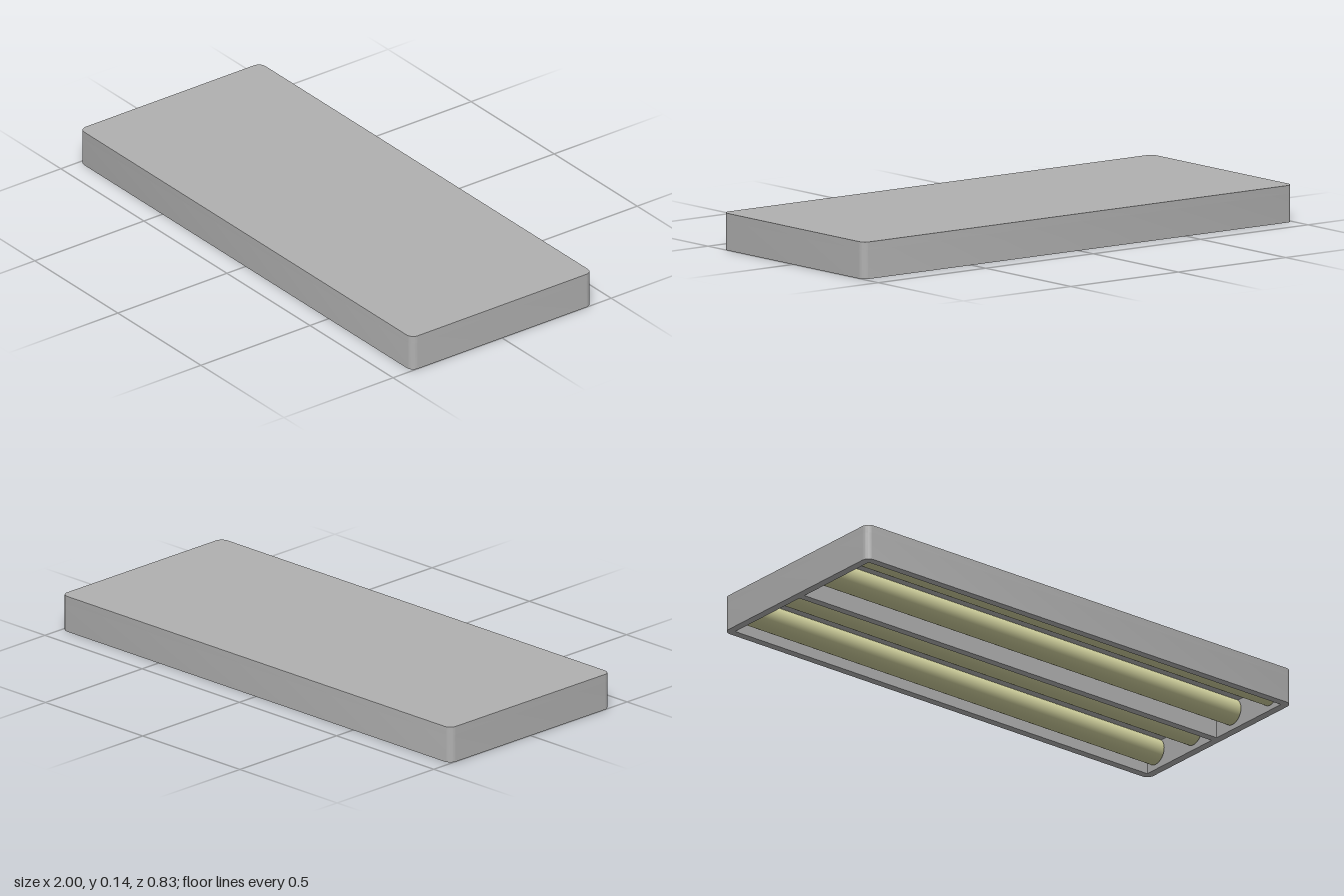
import * as THREE from 'three';
import { toCreasedNormals } from 'three/addons/utils/BufferGeometryUtils.js';

const W = 2, D = 0.83, H = 0.137, WALL = 0.03, CEILING = 0.107, CORNER = 0.03;

// Rectangle with rounded corners, centred on the origin
function roundedOutline() {
  const x = W / 2, y = D / 2, r = CORNER;
  const s = new THREE.Shape();
  s.absarc(x - r, y - r, r, 0, Math.PI / 2);
  s.absarc(-x + r, y - r, r, Math.PI / 2, Math.PI);
  s.absarc(-x + r, -y + r, r, Math.PI, Math.PI * 1.5);
  s.absarc(x - r, -y + r, r, Math.PI * 1.5, Math.PI * 2);
  s.closePath();
  return s;
}

// Extrude a flat outline upwards between two heights
function slab(shape, y0, y1) {
  const g = new THREE.ExtrudeGeometry(shape, { depth: y1 - y0, bevelEnabled: false, curveSegments: 6 });
  g.rotateX(-Math.PI / 2).translate(0, y0, 0);
  return toCreasedNormals(g, 0.6);
}

export function createModel() {
  const model = new THREE.Group();
  model.name = 'ceilingLight';

  const metal = new THREE.MeshStandardMaterial({ color: 0xb0b0b0 });
  metal.name = 'grey metal';
  const glass = new THREE.MeshStandardMaterial({ color: 0xcaca98 });
  glass.name = 'pale yellow tube';

  const add = (name, geometry, material) => {
    const mesh = new THREE.Mesh(geometry, material);
    mesh.name = name;
    model.add(mesh);
    return mesh;
  };

  // Side walls and centre divider: one frame with two long openings
  const frame = roundedOutline();
  const x = W / 2 - WALL, outer = D / 2 - WALL, inner = WALL / 2;
  for (const [a, b] of [[inner, outer], [-outer, -inner]]) {
    frame.holes.push(new THREE.Path([
      new THREE.Vector2(-x, a), new THREE.Vector2(-x, b),
      new THREE.Vector2(x, b), new THREE.Vector2(x, a),
    ]));
  }
  add('housingFrame', slab(frame, 0, CEILING), metal);

  // Closed top of the housing
  add('housingTop', slab(roundedOutline(), CEILING, H), metal);

  // Four tubes, two in each trough
  const tube = new THREE.CylinderGeometry(0.049, 0.049, 1.93, 32);
  tube.rotateZ(Math.PI / 2);
  for (const z of [-0.33, -0.113, 0.113, 0.33]) {
    add('lightTube', tube, glass).position.set(0, 0.065, z);
  }

  return model;
}
